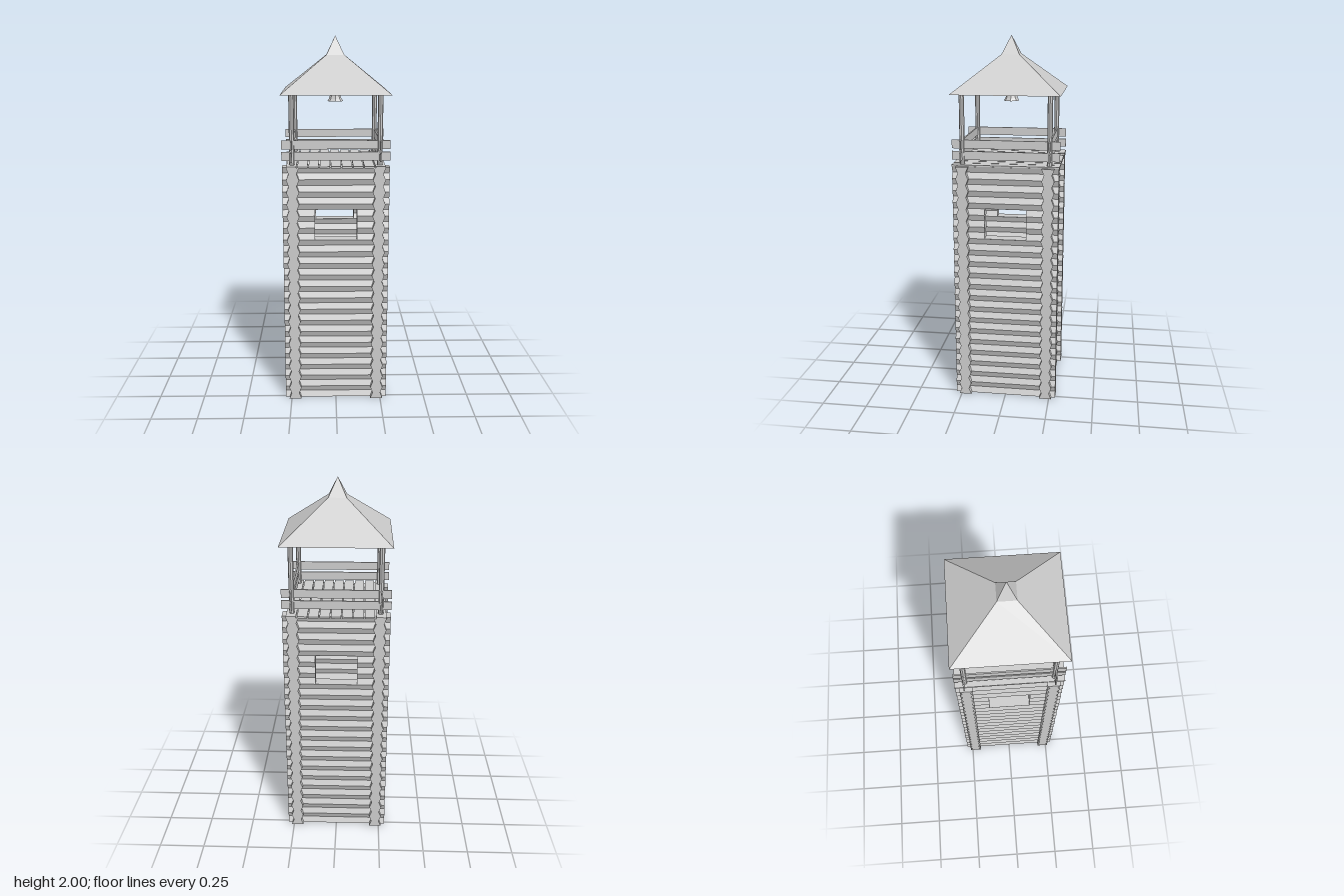
import * as THREE from 'three';

const PITCH = 0.0664, WALL_TOP = 1.328, WALL_AT = 0.229, REACH = 0.285;

export function createModel() {
  const tower = new THREE.Group();
  tower.name = 'watchtower';
  const material = new THREE.MeshStandardMaterial({ color: 0xcccccc, flatShading: true });
  const thin = new THREE.MeshStandardMaterial({ color: 0xcccccc, flatShading: true, side: THREE.DoubleSide });

  const add = (parent, name, geometry, x = 0, y = 0, z = 0, mat = material) => {
    const mesh = new THREE.Mesh(geometry, mat);
    mesh.name = name;
    mesh.position.set(x, y, z);
    parent.add(mesh);
    return mesh;
  };

  // Stacked logs: half thickness is widest at whole rows, narrowest between them
  const halfWidth = (y) => {
    const t = Math.abs(((y / PITCH) % 1) - 0.5) * 2;
    return 0.021 + 0.013 * t;
  };

  // A run of stacked logs along x, from x0 to x1 and y0 to y1
  const logs = (x0, x1, y0, y1) => {
    const ys = [y0];
    for (let k = 0; k <= 40; k++) {
      const y = (k * PITCH) / 2;
      if (y > y0 + 1e-4 && y < y1 - 1e-4) ys.push(y);
    }
    ys.push(y1);
    const outline = [
      ...ys.map((y) => new THREE.Vector2(halfWidth(y), y)),
      ...ys.slice().reverse().map((y) => new THREE.Vector2(-halfWidth(y), y)),
    ];
    const geometry = new THREE.ExtrudeGeometry(new THREE.Shape(outline), { depth: x1 - x0, bevelEnabled: false });
    return geometry.translate(0, 0, x0).rotateY(Math.PI / 2);
  };

  // Four crossing walls, each with a square window, and their railing boards
  const win = 0.113, sill = 0.93, lintel = 1.095;
  ['front', 'left', 'back', 'right'].forEach((side, i) => {
    const wall = new THREE.Group();
    wall.name = side + 'Wall';
    wall.rotation.y = (i * Math.PI) / 2;
    add(wall, 'lowerLogs', logs(-REACH, REACH, 0, sill), 0, 0, WALL_AT);
    add(wall, 'windowSideLogs', logs(-REACH, -win, sill, lintel), 0, 0, WALL_AT);
    add(wall, 'windowSideLogs', logs(win, REACH, sill, lintel), 0, 0, WALL_AT);
    add(wall, 'upperLogs', logs(-REACH, REACH, lintel, WALL_TOP), 0, 0, WALL_AT);
    for (const y of [1.382, 1.443]) {
      add(wall, 'railBoard', new THREE.BoxGeometry(0.576, 0.046, 0.008), 0, y, 0.235);
    }
    tower.add(wall);
  });

  // Deck planks running front to back
  for (let i = -4; i <= 4; i++) {
    add(tower, 'deckPlank', new THREE.BoxGeometry(0.053, 0.009, 0.576), i * 0.0588, 1.331, 0);
  }

  // Roof posts
  for (const x of [-0.233, 0.233]) {
    for (const z of [-0.233, 0.233]) {
      add(tower, 'roofPost', new THREE.CylinderGeometry(0.014, 0.014, 0.4, 8), x, 1.53, z);
    }
  }

  // Four-sided roof, open below, with a steep peak
  const roofProfile = [[0.289, 1.705], [0.048, 1.9], [0, 2]]
    .map(([r, y]) => new THREE.Vector2(r * Math.SQRT2, y));
  add(tower, 'roof', new THREE.LatheGeometry(roofProfile, 4, Math.PI / 4), 0, 0, 0, thin);

  // Bell hanging under the roof
  const bellProfile = [[0.043, 1.65], [0.034, 1.665], [0.021, 1.703], [0.012, 1.725], [0, 1.73]]
    .map(([r, y]) => new THREE.Vector2(r, y));
  add(tower, 'bell', new THREE.LatheGeometry(bellProfile, 8), 0, 0, 0, thin);
  add(tower, 'bellHanger', new THREE.CylinderGeometry(0.004, 0.004, 0.17, 6), 0, 1.81, 0);

  return tower;
}
